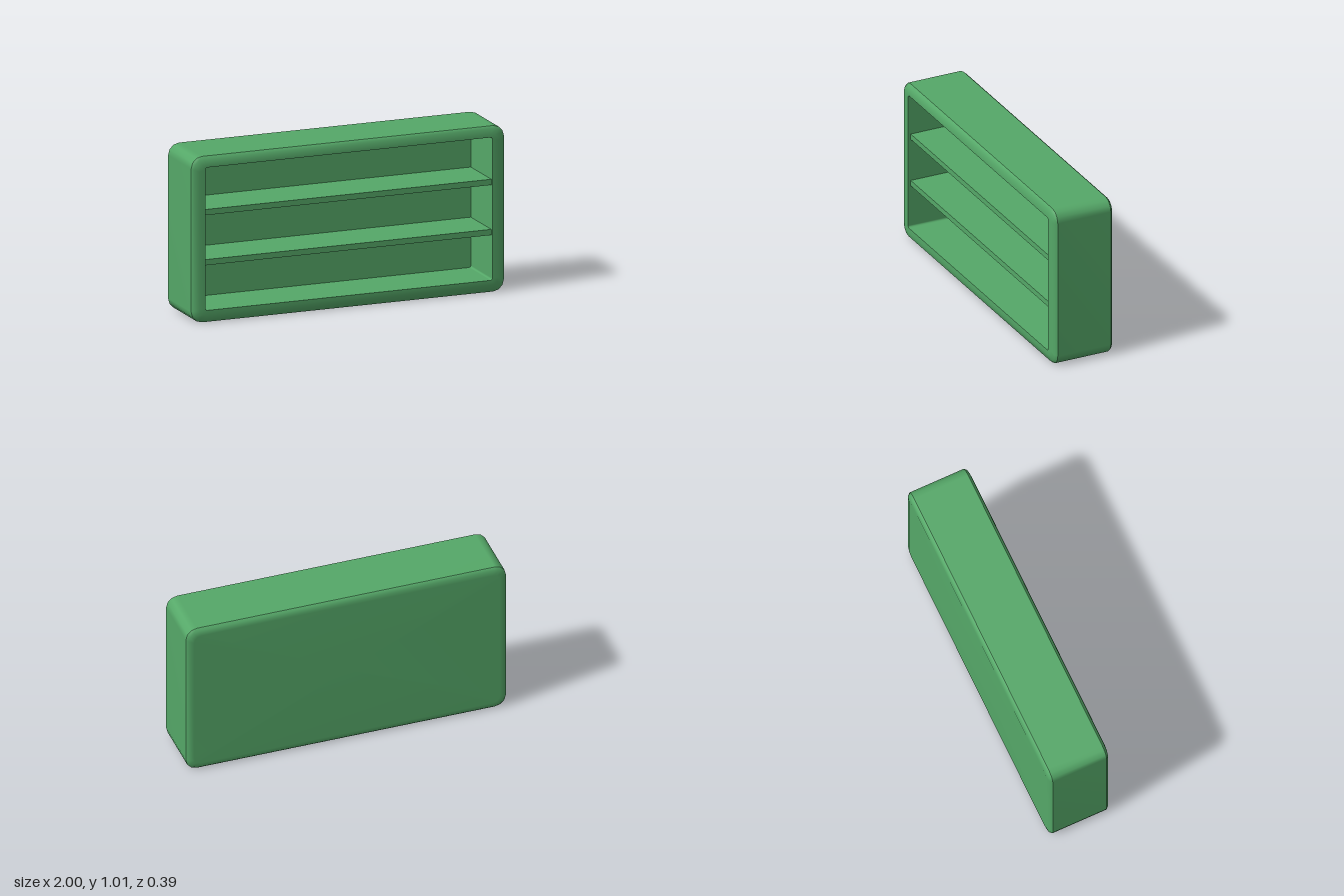
import * as THREE from 'three';

const CORNER_STEPS = 3;

// Counter-clockwise rounded rectangle at depth z: [half width, half height, corner radius, z, centre y]
function ring([w, h, r, z, cy = 0.505]) {
  const points = [];
  for (let corner = 0; corner < 4; corner++) {
    const sx = corner === 0 || corner === 3 ? 1 : -1;
    const sy = corner < 2 ? 1 : -1;
    for (let i = 0; i <= CORNER_STEPS; i++) {
      const a = (corner + i / CORNER_STEPS) * Math.PI / 2;
      points.push([sx * (w - r) + r * Math.cos(a), cy + sy * (h - r) + r * Math.sin(a), z]);
    }
  }
  return points;
}

// Smooth skin through a list of rings
function loft(sections) {
  const rings = sections.map(ring);
  const n = rings[0].length;
  const index = [];
  for (let i = 0; i < rings.length - 1; i++) {
    for (let j = 0; j < n; j++) {
      const k = (j + 1) % n;
      const a = i * n + j, b = i * n + k, c = b + n, d = a + n;
      index.push(a, b, c, a, c, d);
    }
  }
  const geometry = new THREE.BufferGeometry();
  geometry.setAttribute('position', new THREE.Float32BufferAttribute(rings.flat(2), 3));
  geometry.setIndex(index);
  geometry.computeVertexNormals();
  return geometry;
}

export function createModel() {
  const group = new THREE.Group();
  const green = new THREE.MeshStandardMaterial({ color: 0x55a868 });
  green.name = 'green';

  const add = (name, geometry) => {
    const mesh = new THREE.Mesh(geometry, green);
    mesh.name = name;
    group.add(mesh);
    return mesh;
  };

  // Outer sections of the case, mirrored front to back
  const outer = (inset, z) => [1 - inset, 0.505 - inset, 0.07 - inset * 0.6, z];
  const opening = (z) => [0.917, 0.435, 0.012, z, 0.51];
  const frontZ = 0.197, sideZ = 0.175, innerZ = -0.13;

  add('caseBack', loft([
    [0, 0, 0, -frontZ], outer(0.045, -frontZ), outer(0.013, -0.19), outer(0, -sideZ),
  ]));
  add('caseSides', loft([outer(0, -sideZ), outer(0, sideZ)]));
  add('frontFrame', loft([
    outer(0, sideZ), outer(0.013, 0.19), outer(0.045, frontZ), opening(frontZ),
  ]));
  add('cavityWalls', loft([opening(frontZ), opening(innerZ)]));
  add('cavityBack', loft([opening(innerZ), [0, 0, 0, innerZ, 0.51]]));

  // Two shelves, set slightly behind the frame
  const shelfFront = 0.18;
  for (const [name, y] of [['lowerShelf', 0.363], ['upperShelf', 0.668]]) {
    const depth = shelfFront - innerZ;
    add(name, new THREE.BoxGeometry(1.834, 0.035, depth))
      .position.set(0, y, innerZ + depth / 2);
  }
  return group;
}
